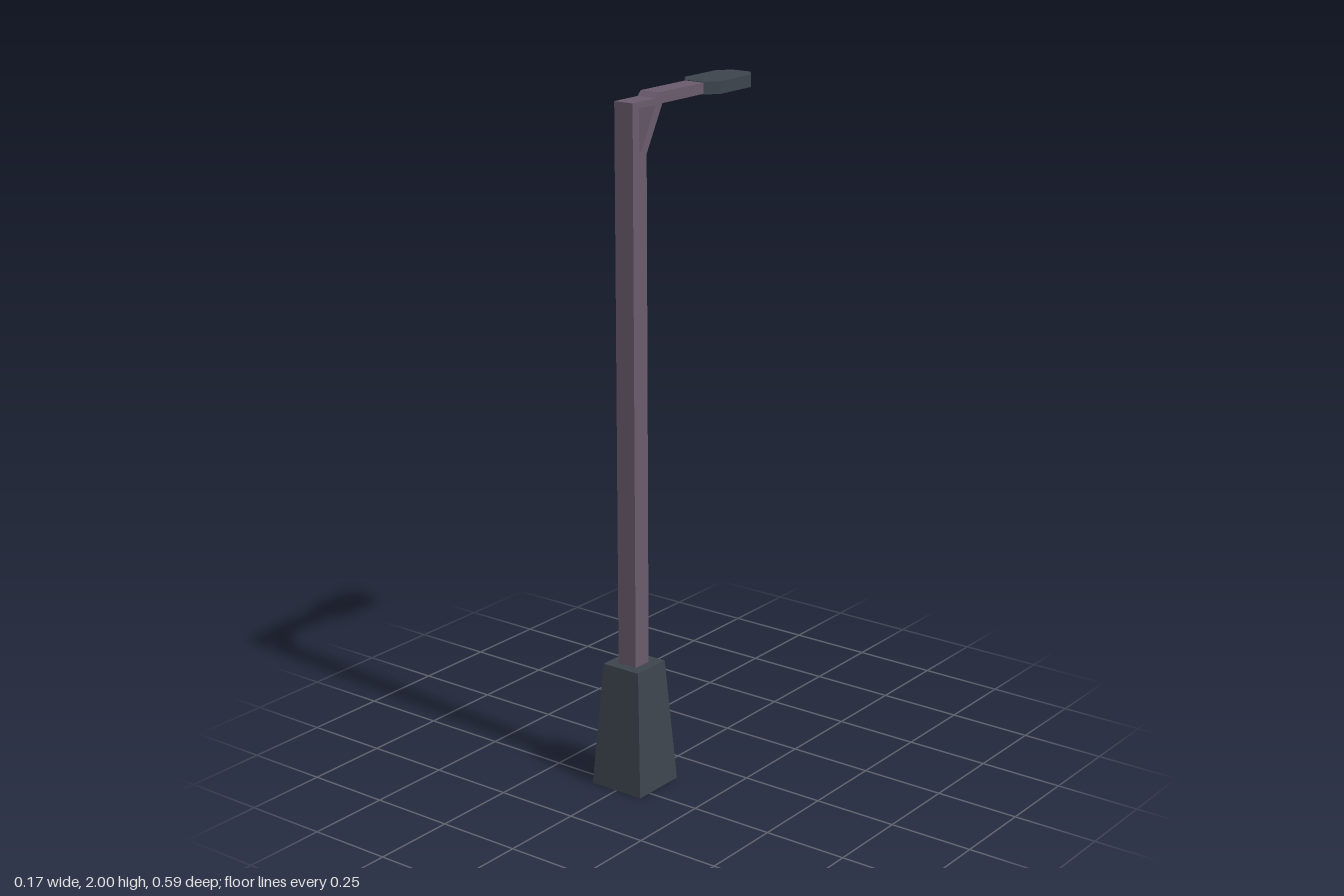
import * as THREE from 'three';

const mat = (color, side = THREE.FrontSide) =>
  new THREE.MeshStandardMaterial({ color, flatShading: true, side });
const path = (pts, Type = THREE.Shape) => new Type(pts.map(([a, b]) => new THREE.Vector2(a, b)));

// Lamp outline in x/z: a rectangle with clipped corners, pulled in by d
function octagon(d, Type) {
  const w = 0.062 - d, n = 0.031 - d * 0.5;
  const back = -0.297 + d, front = -0.075 - d, b = -0.257 + d * 0.4, f = -0.113 - d * 0.4;
  return path([[-n, back], [n, back], [w, b], [w, f], [n, front], [-n, front], [-w, f], [-w, b]], Type);
}

// Horizontal slab hanging down from the given top height
function slab(shape, top, depth) {
  const g = new THREE.ExtrudeGeometry(shape, { depth, bevelEnabled: false });
  return g.rotateX(Math.PI / 2).translate(0, top, 0);
}

export function createModel() {
  const model = new THREE.Group();
  const purple = mat(0x6a5a6c);
  const slate = mat(0x3c444c);
  const add = (name, geometry, material, parent = model) => {
    const mesh = new THREE.Mesh(geometry, material);
    mesh.name = name;
    parent.add(mesh);
    return mesh;
  };

  // Tapered square base, hollow underneath
  const base = new THREE.Group();
  base.name = 'base';
  base.position.z = 0.207;
  model.add(base);
  const r = Math.SQRT2, h = 0.37;
  const walls = new THREE.CylinderGeometry(0.062 * r, 0.087 * r, h, 4, 1, true);
  walls.rotateY(Math.PI / 4).translate(0, h / 2, 0);
  const hollow = mat(0x3c444c, THREE.DoubleSide);
  add('baseWalls', walls, hollow, base);
  add('baseTop', new THREE.PlaneGeometry(0.124, 0.124).rotateX(-Math.PI / 2).translate(0, h, 0), hollow, base);

  // Pole, arm and diagonal brace as one side profile (z, y)
  const profile = path([
    [0.18, h], [0.24, h], [0.24, 1.984], [0.14, 1.984], [0.125, 1.998],
    [-0.078, 1.998], [-0.078, 1.967], [0.11, 1.967], [0.18, 1.84],
  ]);
  profile.holes.push(path([[0.212, 1.967], [0.14, 1.967], [0.204, 1.848], [0.212, 1.848]], THREE.Path));
  const pole = new THREE.ExtrudeGeometry(profile, { depth: 0.062, bevelEnabled: false });
  add('poleAndArm', pole.rotateY(-Math.PI / 2).translate(0.031, 0, 0), purple);

  // Lamp head: top plate, rim below it and a recessed lens
  const lamp = new THREE.Group();
  lamp.name = 'lampHead';
  model.add(lamp);
  const rim = octagon(0);
  rim.holes.push(octagon(0.014, THREE.Path));
  add('lampTop', slab(octagon(0), 2, 0.02), slate, lamp);
  add('lampRim', slab(rim, 1.98, 0.015), slate, lamp);
  add('lampLens', slab(octagon(0.014), 1.98, 0.007), mat(0xb8b4a8), lamp);

  return model;
}
